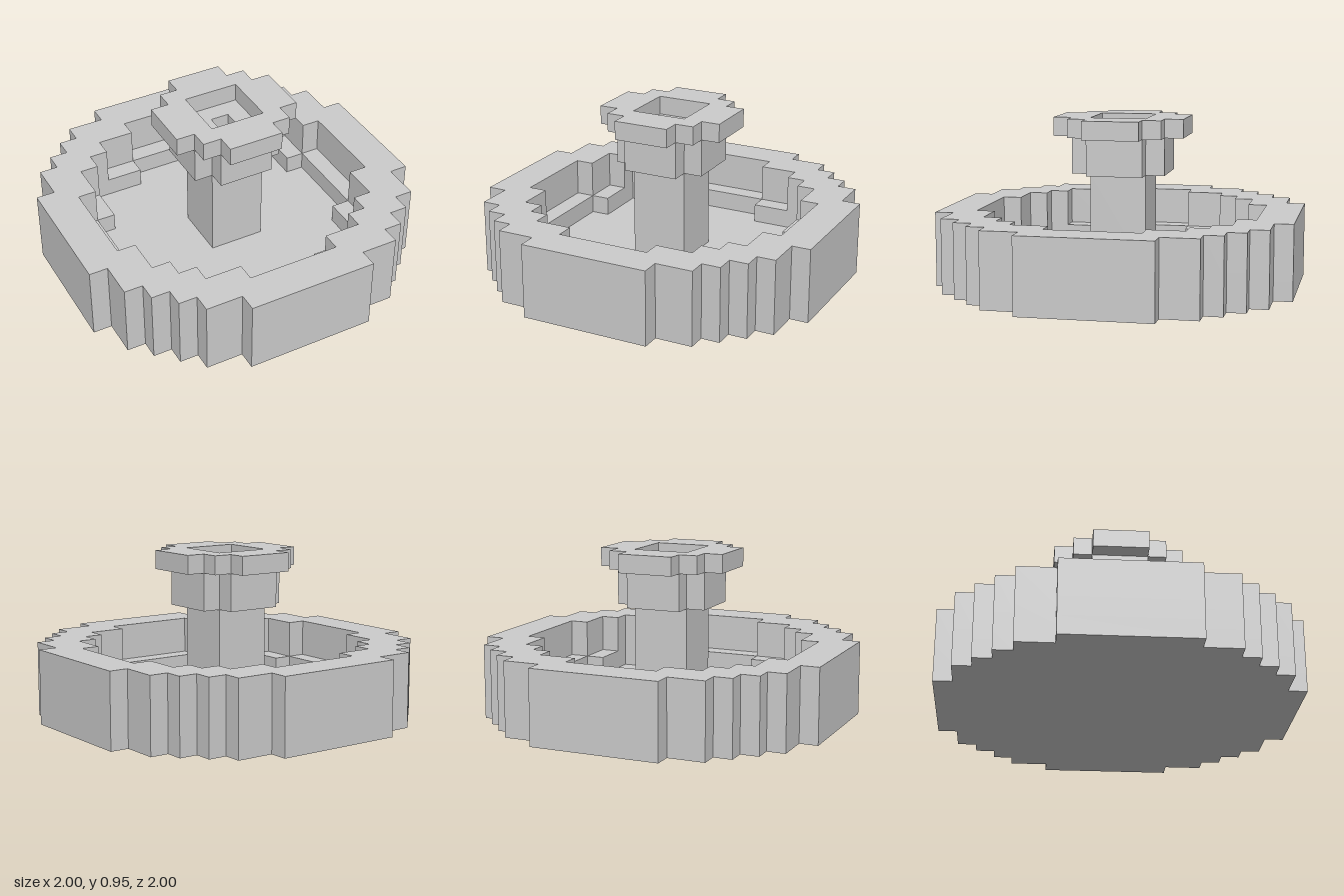
import * as THREE from 'three';

const U = 2 / 19; // edge length of one block

// Stepped round outline with four-fold symmetry: the steps are the distances
// from the axis, in blocks, of the successive corners of one quarter.
function outline(steps) {
  const n = steps.length;
  const quarter = [];
  for (let i = 0; i < n; i++) {
    const z = steps[n - 1 - i];
    quarter.push([steps[i], z]);
    if (i < n - 1) quarter.push([steps[i + 1], z]);
  }
  const points = [];
  for (let k = 0; k < 4; k++) {
    for (const [x, y] of quarter) {
      const [px, py] = [[x, y], [-y, x], [-x, -y], [y, -x]][k];
      points.push(new THREE.Vector2(px * U, py * U));
    }
  }
  return points;
}

// Upright layer between two block heights, with an optional stepped opening
function layer(name, steps, bottom, top, hole) {
  const shape = new THREE.Shape(outline(steps));
  if (hole) shape.holes.push(new THREE.Path(outline(hole)));
  const geometry = new THREE.ExtrudeGeometry(shape, { depth: (top - bottom) * U, bevelEnabled: false });
  geometry.rotateX(-Math.PI / 2).translate(0, bottom * U, 0);
  const mesh = new THREE.Mesh(
    geometry,
    new THREE.MeshStandardMaterial({ color: 0xcccccc, flatShading: true })
  );
  mesh.name = name;
  return mesh;
}

export function createModel() {
  const model = new THREE.Group();
  model.name = 'fountain';

  const outer = [9.5, 8.5, 7.5, 6.5, 5.5, 3.5];
  const rimOpening = [7.5, 6.5, 5.5, 4.5, 2.5];
  const ledgeOpening = [6.5, 5.5, 2.5];
  const cross = [2.5, 1.5];

  // Basin: floor, inner ledge and wall
  const basin = new THREE.Group();
  basin.name = 'basin';
  basin.add(
    layer('basinFloor', outer, 0, 1),
    layer('basinLedge', outer, 1, 2, ledgeOpening),
    layer('basinWall', outer, 2, 4, rimOpening)
  );

  // Central column with a widening head and a small bowl on top
  const column = new THREE.Group();
  column.name = 'column';
  column.add(
    layer('pillar', [1.5], 1, 6),
    layer('neck', cross, 6, 7),
    layer('spout', cross, 7, 8, [0.5]),
    layer('bowlRim', [3.5, 2.5, 1.5], 8, 9, [1.5])
  );

  model.add(basin, column);
  return model;
}
